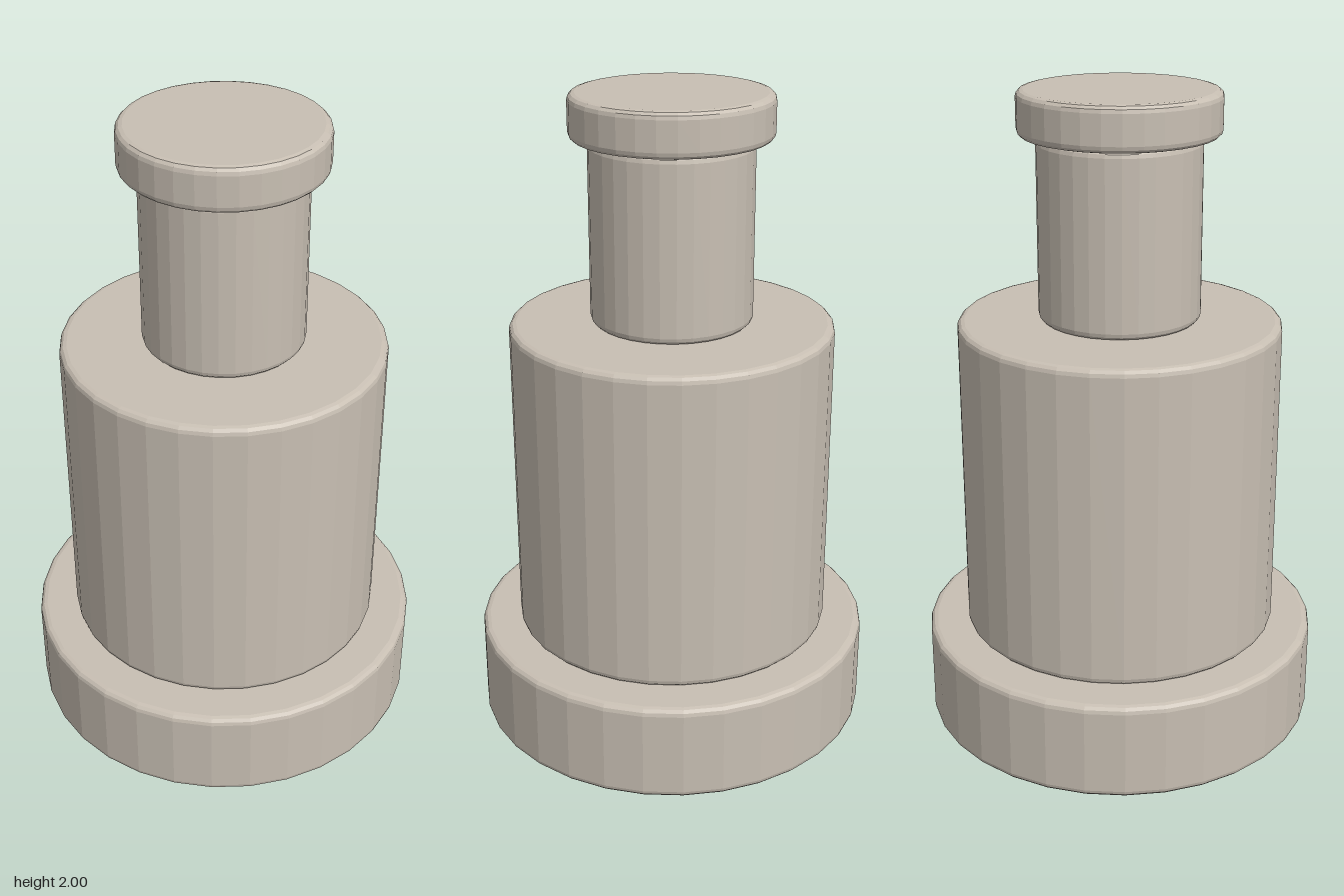
import * as THREE from 'three';

const SIDES = 32;
const BEVEL = 0.022;
const BEVEL_STEPS = 3;

// Solid disc with rounded rims, from height y0 to y1
function roundedDisc(name, radius, y0, y1, material) {
  const profile = [new THREE.Vector2(0, y0)];
  for (const [cy, start] of [[y0 + BEVEL, -Math.PI / 2], [y1 - BEVEL, 0]]) {
    for (let i = 0; i <= BEVEL_STEPS; i++) {
      const a = start + (i / BEVEL_STEPS) * Math.PI / 2;
      profile.push(new THREE.Vector2(
        radius - BEVEL + BEVEL * Math.cos(a),
        cy + BEVEL * Math.sin(a)
      ));
    }
  }
  profile.push(new THREE.Vector2(0, y1));
  const mesh = new THREE.Mesh(new THREE.LatheGeometry(profile, SIDES), material);
  mesh.name = name;
  return mesh;
}

export function createModel() {
  const group = new THREE.Group();
  group.name = 'steppedPedestal';
  const stone = new THREE.MeshStandardMaterial({ color: 0xc8bfb3, flatShading: true });
  stone.name = 'warm grey';

  // Stacked tiers: name, radius, bottom, top
  const tiers = [
    ['base', 0.618, 0, 0.31],
    ['body', 0.495, 0.31, 1.31],
    ['neck', 0.247, 1.31, 1.866],
    ['cap', 0.303, 1.866, 2],
  ];
  for (const [name, radius, y0, y1] of tiers) {
    group.add(roundedDisc(name, radius, y0, y1, stone));
  }
  return group;
}
